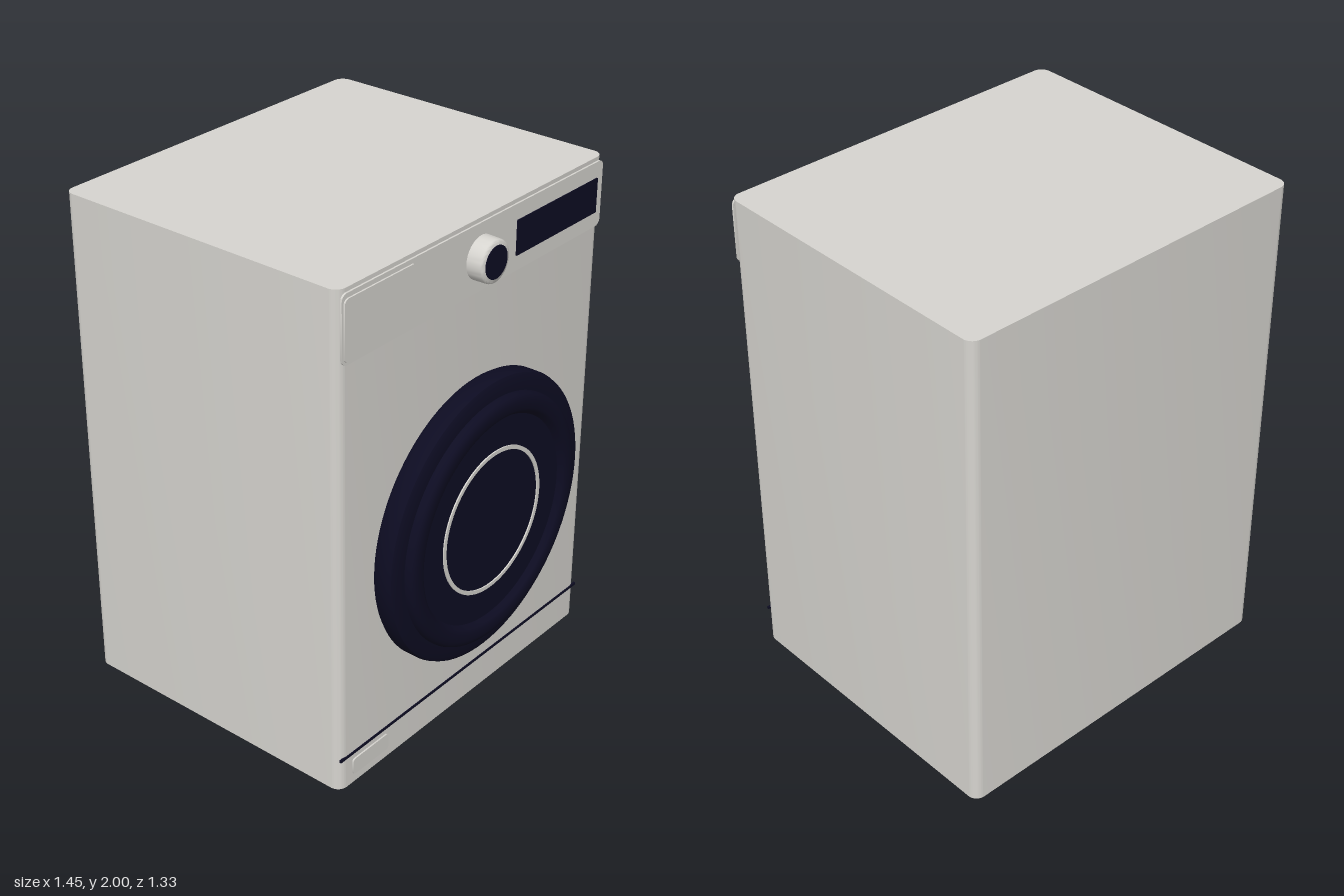
import * as THREE from 'three';
import { toCreasedNormals } from 'three/addons/utils/BufferGeometryUtils.js';

const material = (name, color) => {
  const m = new THREE.MeshStandardMaterial({ color });
  m.name = name;
  return m;
};

function roundedRect(w, h, r) {
  const s = new THREE.Shape(), x = w / 2, y = h / 2;
  s.absarc(x - r, y - r, r, 0, Math.PI / 2);
  s.absarc(-x + r, y - r, r, Math.PI / 2, Math.PI);
  s.absarc(-x + r, -y + r, r, Math.PI, Math.PI * 1.5);
  s.absarc(x - r, -y + r, r, Math.PI * 1.5, Math.PI * 2);
  s.closePath();
  return s;
}

export function createModel() {
  const model = new THREE.Group();
  model.name = 'washingMachine';
  const white = material('enamelWhite', 0xd6d4cf);
  const navy = material('darkNavy', 0x0d0c22);
  const FRONT = 0.545;

  const add = (name, geometry, mat, x = 0, y = 0, z = 0) => {
    const mesh = new THREE.Mesh(geometry, mat);
    mesh.name = name;
    mesh.position.set(x, y, z);
    model.add(mesh);
    return mesh;
  };
  const slab = (w, h, r, depth) => toCreasedNormals(new THREE.ExtrudeGeometry(
    roundedRect(w, h, r), { depth, bevelEnabled: false, curveSegments: 8 }), 0.6);
  // Plate on the front, given by its edges
  const plate = (name, mat, x0, x1, y0, y1, r, z, depth) =>
    add(name, slab(x1 - x0, y1 - y0, r, depth), mat, (x0 + x1) / 2, (y0 + y1) / 2, z);
  // Turned part whose axis points to the front
  const turned = (name, mat, profile, y, segments = 96) => {
    const points = profile.map(([r, z]) => new THREE.Vector2(r, z));
    const g = toCreasedNormals(new THREE.LatheGeometry(points, segments).rotateX(Math.PI / 2), 0.7);
    return add(name, g, mat, 0, y, 0);
  };

  // Cabinet with rounded upright edges
  add('cabinet', slab(1.45, 1.21, 0.04, 1.96).rotateX(-Math.PI / 2), white, 0, 0.04, -0.06);

  // Control panel, drawer and display
  plate('controlPanel', white, -0.713, 0.713, 1.735, 1.985, 0.025, FRONT, 0.007);
  plate('detergentDrawer', white, -0.705, -0.35, 1.745, 1.968, 0.02, FRONT, 0.013);
  plate('display', navy, 0.2, 0.68, 1.793, 1.925, 0.003, FRONT + 0.005, 0.006);

  // Program knob with dark cap
  turned('knob', white, [[0.08, FRONT], [0.078, 0.607], [0.076, 0.612], [0.071, 0.615], [0, 0.615]], 1.86, 48);
  turned('knobCap', navy, [[0.06, 0.614], [0.06, 0.618], [0, 0.618]], 1.86, 48);

  // Door: rim, raised step and slightly recessed glass
  turned('door', navy, [
    [0.54, FRONT], [0.55, 0.56], [0.55, 0.608], [0.545, 0.622], [0.53, 0.63],
    [0.482, 0.63], [0.482, 0.643], [0.477, 0.655], [0.468, 0.662], [0.455, 0.665],
    [0.425, 0.665], [0.414, 0.659], [0.405, 0.645], [0.4, 0.64], [0, 0.64],
  ], 0.863);
  turned('doorTrimRing', white, [[0.283, 0.638], [0.283, 0.645], [0.268, 0.645], [0.268, 0.638]], 0.863);

  // Plinth seam and filter flap
  add('plinthSeam', new THREE.BoxGeometry(1.44, 0.01, 0.008), navy, 0, 0.174, FRONT);
  plate('filterFlap', white, -0.655, -0.46, 0.078, 0.145, 0.012, FRONT, 0.006);

  // Feet
  for (const x of [-0.595, 0.595])
    for (const z of [-0.523, 0.407])
      add('foot', new THREE.CylinderGeometry(0.053, 0.05, 0.042, 32), navy, x, 0.021, z);

  return model;
}
